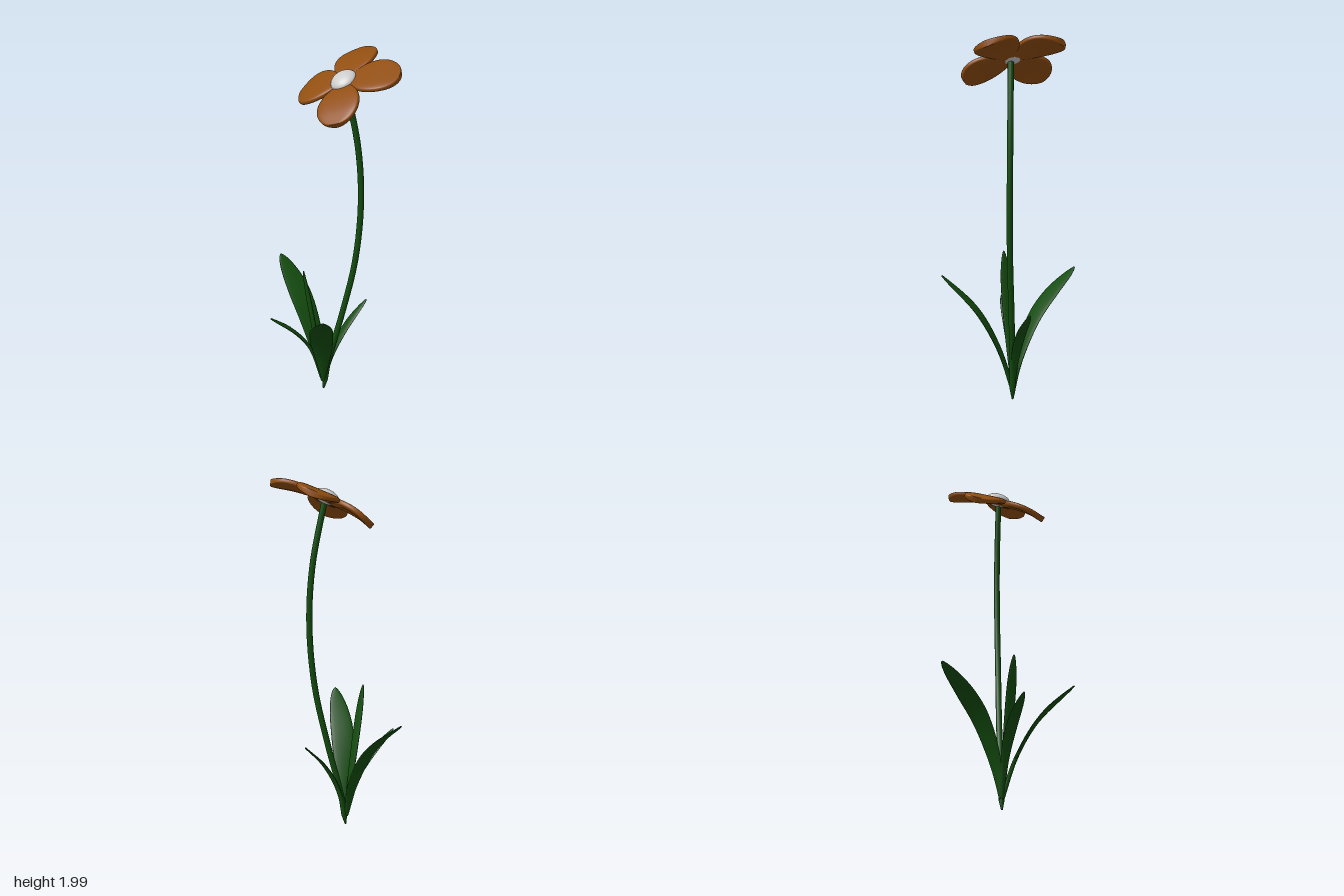
import * as THREE from 'three';

const V = (x, y, z) => new THREE.Vector3(x, y, z);
const green = new THREE.MeshStandardMaterial({ color: 0x134c0e });
const orange = new THREE.MeshStandardMaterial({ color: 0x914e10 });
const grey = new THREE.MeshStandardMaterial({ color: 0xcccccc });

// Sweeps a superellipse along a curve; side is the fixed width direction.
function sweep(curve, side, halfWidth, halfThick, { rows = 28, sides = 16, power = 1 } = {}) {
  const positions = [], index = [];
  for (let i = 0; i <= rows; i++) {
    const t = (1 - Math.cos(Math.PI * i / rows)) / 2; // denser rows at both ends
    const p = curve.getPoint(t);
    const normal = curve.getTangent(t).cross(side).normalize();
    for (let j = 0; j < sides; j++) {
      const a = j / sides * Math.PI * 2, c = Math.cos(a), s = Math.sin(a);
      const q = p.clone()
        .addScaledVector(side, halfWidth(t) * Math.sign(c) * Math.abs(c) ** power)
        .addScaledVector(normal, halfThick(t) * Math.sign(s) * Math.abs(s) ** power);
      positions.push(q.x, q.y, q.z);
      if (i < rows) {
        const k = i * sides + j, n = i * sides + (j + 1) % sides;
        index.push(k, n, k + sides, n, n + sides, k + sides);
      }
    }
  }
  // End caps
  const last = rows * sides;
  for (let j = 1; j < sides - 1; j++) index.push(0, j + 1, j, last, last + j, last + j + 1);
  const g = new THREE.BufferGeometry();
  g.setAttribute('position', new THREE.Float32BufferAttribute(positions, 3));
  g.setIndex(index);
  g.computeVertexNormals();
  return g;
}

function add(parent, name, geometry, material) {
  const mesh = new THREE.Mesh(geometry, material);
  mesh.name = name;
  parent.add(mesh);
  return mesh;
}

// Rises to full width at t = peak, then rounds off to the tip.
const outline = (t, peak, tipPower) => t < peak
  ? Math.sin(Math.PI / 2 * t / peak)
  : Math.max(0, 1 - ((t - peak) / (1 - peak)) ** 2) ** tipPower;

export function createModel() {
  const model = new THREE.Group();
  model.name = 'flower';

  // Curved stem, pointed at the ground
  const stem = new THREE.CatmullRomCurve3([
    V(-0.03, 0.005, 0.045), V(-0.005, 0.2, 0.06), V(0.055, 0.5, 0.1), V(0.112, 0.85, 0.142),
    V(0.135, 1.2, 0.155), V(0.12, 1.52, 0.143), V(0.06, 1.885, 0.105),
  ]);
  const stemRadius = t => 0.005 + 0.0115 * Math.min(1, t / 0.05);
  add(model, 'stem', sweep(stem, V(0, 0, 1), stemRadius, stemRadius, { rows: 48, sides: 14 }), green);

  // Blades fanning out from the foot of the stem: points along the midrib, half width
  const leaves = [
    ['backLeaf', 0.074, [[-0.03, 0.06, 0.04], [-0.035, 0.24, 0], [-0.04, 0.45, -0.1], [-0.04, 0.58, -0.21], [-0.042, 0.71, -0.365]]],
    ['frontLeaf', 0.07, [[-0.03, 0.06, 0.045], [-0.08, 0.29, 0.105], [-0.155, 0.5, 0.2], [-0.258, 0.695, 0.363]]],
    ['outerLeaf', 0.036, [[-0.03, 0.06, 0.04], [-0.1, 0.29, 0.015], [-0.19, 0.42, -0.015], [-0.32, 0.535, -0.05]]],
    ['tallLeaf', 0.035, [[-0.03, 0.06, 0.045], [-0.078, 0.36, 0.04], [-0.12, 0.62, 0.035], [-0.153, 0.82, 0.03]]],
    ['innerLeaf', 0.034, [[-0.03, 0.06, 0.045], [0.025, 0.25, 0.06], [0.11, 0.4, 0.075], [0.235, 0.535, 0.09]]],
  ];
  for (const [name, width, pts] of leaves) {
    const curve = new THREE.CatmullRomCurve3(pts.map(p => V(...p)));
    const out = curve.getPoint(1).sub(curve.getPoint(0)).setY(0).normalize();
    const side = V(out.z, 0, -out.x);
    const halfWidth = t => 0.008 + (width - 0.008) * outline(t, 0.66, 0.62) - 0.007 * t;
    const halfThick = t => 0.013 - 0.009 * t;
    add(model, name, sweep(curve, side, halfWidth, halfThick, { sides: 14 }), green);
  }

  // Tilted flower head
  const head = new THREE.Group();
  head.name = 'flowerHead';
  head.position.set(0.063, 1.88, 0.099);
  head.quaternion.setFromUnitVectors(V(0, 1, 0), V(-0.56, 1, -0.1).normalize());
  model.add(head);

  // Four petals, arching downwards at the tips and touching near the centre
  const petals = [[-31, 0.3], [54, 0.3], [142, 0.288], [241, 0.285]];
  for (const [degrees, length] of petals) {
    const curve = new THREE.CatmullRomCurve3([
      V(0.01, -0.002, 0), V(length * 0.35, 0.004, 0), V(length * 0.7, -0.008, 0), V(length, -0.036, 0),
    ]);
    const petal = add(head, 'petal', sweep(curve, V(0, 0, 1),
      t => 0.014 + 0.11 * outline(t, 0.6, 0.5) ** 0.9 - 0.013 * t, () => 0.017,
      { rows: 32, sides: 32, power: 0.5 }), orange);
    petal.rotation.y = -degrees * Math.PI / 180;
  }

  // Domed centre
  const centre = add(head, 'centre', new THREE.SphereGeometry(0.07, 32, 20), grey);
  centre.scale.y = 0.55;
  centre.position.y = 0.015;

  return model;
}
